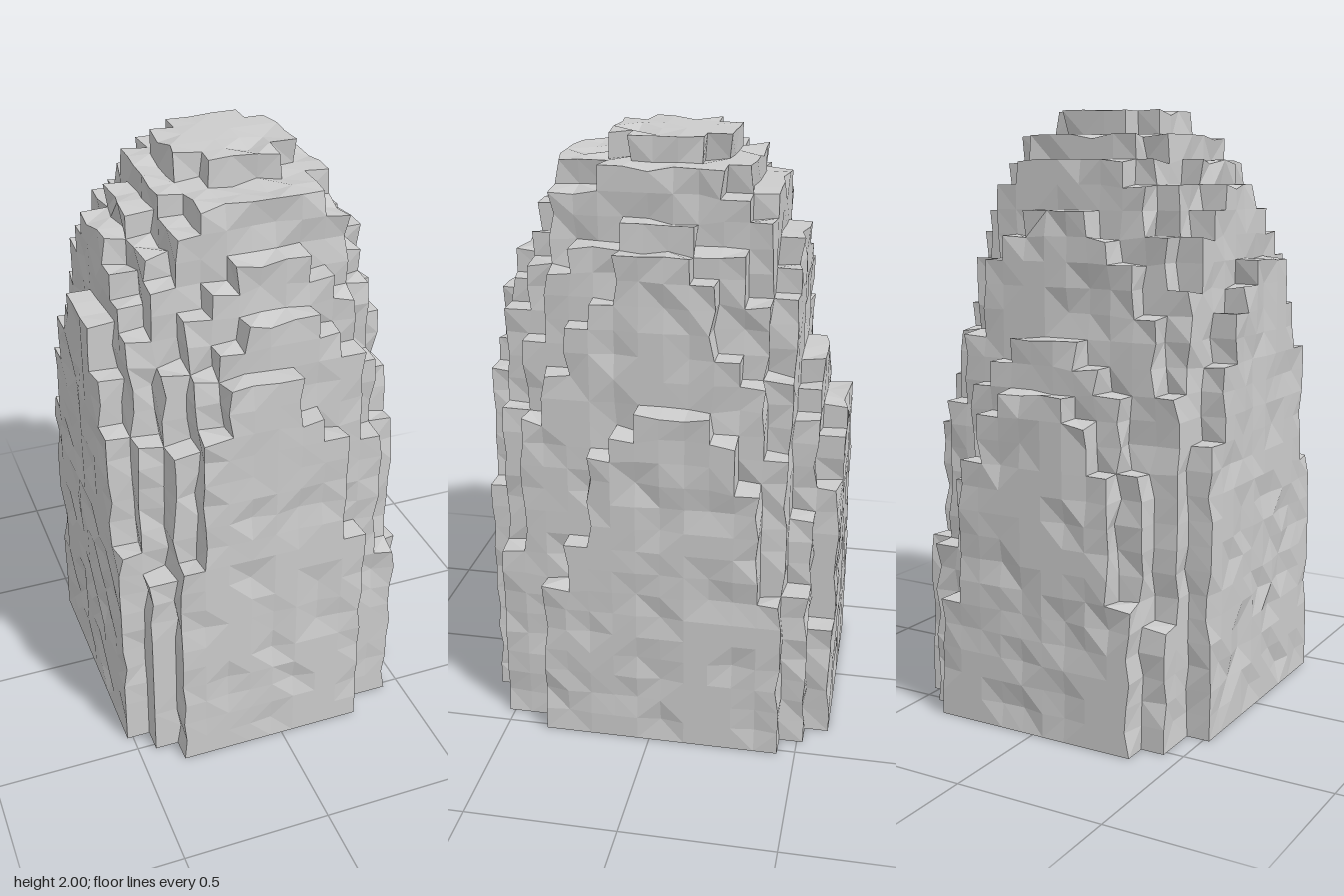
import * as THREE from 'three';

const S = 0.08, NX = 6, NZ = 7; // block size, half grid counts

// how many blocks each column lies below the summit, along x and along z
const DROP_X = [6, 3, 2, 1, 0, 0, 0, 0, 0, 1, 3, 4, 10];
const DROP_Z = [11, 9, 4, 2, 1, 0, 0, 0, 0, 0, 1, 1, 3, 5, 7];
// footprint: first and last column of each row, back to front
const FIRST = [-4, -5, -5, -6, -6, -6, -6, -6, -6, -6, -6, -6, -6, -5, -4];
const LAST = [4, 5, 6, 6, 6, 6, 6, 6, 6, 6, 6, 6, 5, 5, 3];
// stepped outlines of the buttresses: front (x = -4..3), right side (z = -5..4),
// its shoulder (z = -6..6) and left side (z = -4..5)
const FRONT = [10, 16, 18, 18, 18, 16, 15, 10];
const RIGHT = [7, 12, 14, 15, 15, 15, 14, 13, 9, 7];
const SHOULDER = [7, 13, 16, 17, 20, 21, 21, 21, 19, 18, 16, 14, 8];
const LEFT = [12, 15, 17, 18, 19, 19, 19, 17, 15, 10];

// height of a column in blocks
function height(i, k) {
  if (Math.abs(k) > NZ || i < FIRST[k + NZ] || i > LAST[k + NZ]) return 0;
  if (k === NZ) return FRONT[i + 4];
  if (i === NX) return RIGHT[k + 5];
  if (i === NX - 1) return SHOULDER[k + 6];
  if (i === -NX) return LEFT[k + 4];
  const a = Math.abs(i), b = Math.abs(k);
  const corner = 31 * (a / 6) ** 4 * (b / 7) ** 4;
  const rounding = (a === 2 && b > 4) || (b === 2 && a > 3) ? 1 : 0; // terrace ends
  const h = Math.round(25 - DROP_X[i + NX] - DROP_Z[k + NZ] - corner) - rounding;
  const summit = a + b > 3 ? 24 : 25; // clipped summit corners
  return Math.max(5, Math.min(h, summit));
}

const solid = (i, j, k) => j >= 0 && j < height(i, k);

function hash(a, b, c, n) {
  const s = Math.sin(a * 127.1 + b * 311.7 + c * 74.7 + n * 53.3) * 43758.5453;
  return s - Math.floor(s);
}

// block corner, weathered a little towards the rock around it; the base stays crisp
function corner(i, j, k) {
  const pull = new THREE.Vector3();
  for (const a of [-1, 0]) for (const b of [-1, 0]) for (const c of [-1, 0]) {
    if (solid(i + a, j + b, k + c)) pull.add(new THREE.Vector3(2 * a + 1, 2 * b + 1, 2 * c + 1));
  }
  const wear = (n) => (j > 0 ? 0.045 * Math.max(0, hash(i, j, k, n) - 0.6) : 0);
  return [
    (i - 0.5) * S + Math.sign(pull.x) * wear(1),
    j * S + Math.sign(pull.y) * wear(2),
    (k - 0.5) * S + Math.sign(pull.z) * wear(3),
  ];
}

// exposed block sides: outward step and its four corners, counter-clockwise
const SIDES = [
  { d: [1, 0, 0], q: [[1, 0, 1], [1, 0, 0], [1, 1, 0], [1, 1, 1]] },
  { d: [-1, 0, 0], q: [[0, 0, 0], [0, 0, 1], [0, 1, 1], [0, 1, 0]] },
  { d: [0, 1, 0], q: [[0, 1, 1], [1, 1, 1], [1, 1, 0], [0, 1, 0]] },
  { d: [0, -1, 0], q: [[0, 0, 0], [1, 0, 0], [1, 0, 1], [0, 0, 1]] },
  { d: [0, 0, 1], q: [[0, 0, 1], [1, 0, 1], [1, 1, 1], [0, 1, 1]] },
  { d: [0, 0, -1], q: [[1, 0, 0], [0, 0, 0], [0, 1, 0], [1, 1, 0]] },
];

function rockGeometry() {
  const pos = [];
  for (let k = -NZ; k <= NZ; k++) for (let i = -NX; i <= NX; i++) {
    for (let j = 0; j < height(i, k); j++) {
      for (const { d, q } of SIDES) {
        if (solid(i + d[0], j + d[1], k + d[2])) continue;
        const p = q.map(([a, b, c]) => corner(i + a, j + b, k + c));
        // vary the diagonal so the facets look chipped
        const order = hash(i, j, k, 7) > 0.5 ? [0, 1, 2, 0, 2, 3] : [0, 1, 3, 1, 2, 3];
        for (const n of order) pos.push(...p[n]);
      }
    }
  }
  const g = new THREE.BufferGeometry();
  g.setAttribute('position', new THREE.Float32BufferAttribute(pos, 3));
  g.computeVertexNormals();
  return g;
}

export function createModel() {
  const group = new THREE.Group();
  group.name = 'steppedRock';
  const rock = new THREE.Mesh(
    rockGeometry(),
    new THREE.MeshStandardMaterial({ color: 0xcccccc, flatShading: true }),
  );
  rock.name = 'rockBody';
  group.add(rock);
  return group;
}
